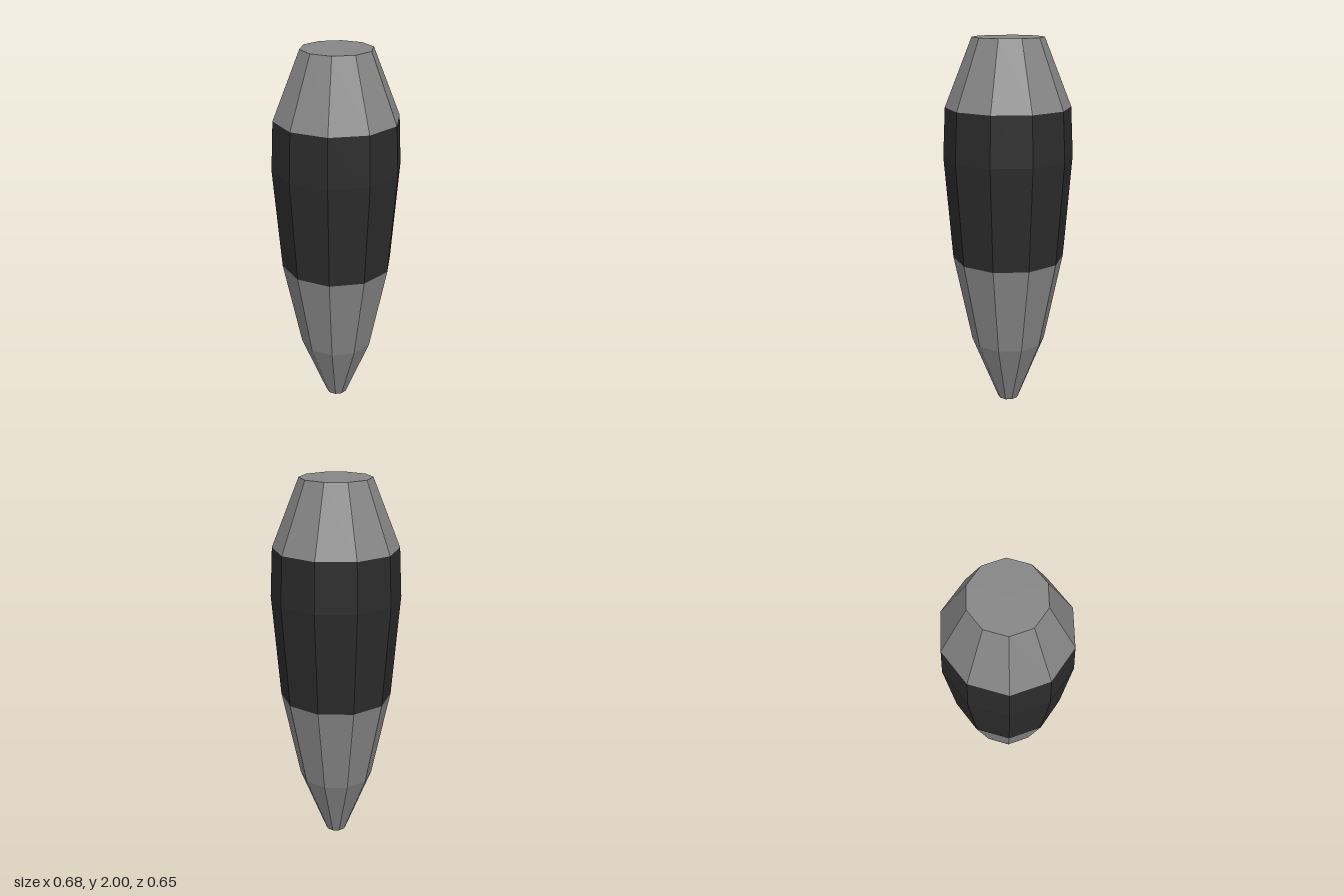
import * as THREE from 'three';

const SIDES = 10;

export function createModel() {
  const model = new THREE.Group();
  model.name = 'taperedBody';

  const grey = new THREE.MeshStandardMaterial({ color: 0x868686, flatShading: true });
  grey.name = 'grey';
  const charcoal = new THREE.MeshStandardMaterial({ color: 0x2b2b2b, flatShading: true });
  charcoal.name = 'charcoal';

  // Ten-sided section turned from [radius, height] points, with a corner on the x axis
  function section(name, profile, material) {
    const points = profile.map(([r, y]) => new THREE.Vector2(r, y));
    const mesh = new THREE.Mesh(new THREE.LatheGeometry(points, SIDES, Math.PI / 2), material);
    mesh.name = name;
    model.add(mesh);
  }

  // Pointed lower end, closed by a small flat tip
  section('lowerTaper', [[0, 0], [0.057, 0], [0.2, 0.355], [0.298, 0.835]], grey);

  // Dark bulging grip band
  section('middleBand', [[0.298, 0.835], [0.341, 1.385], [0.328, 1.645]], charcoal);

  // Bevelled upper end with a flat top
  section('upperCap', [[0.328, 1.645], [0.186, 2], [0, 2]], grey);

  return model;
}
